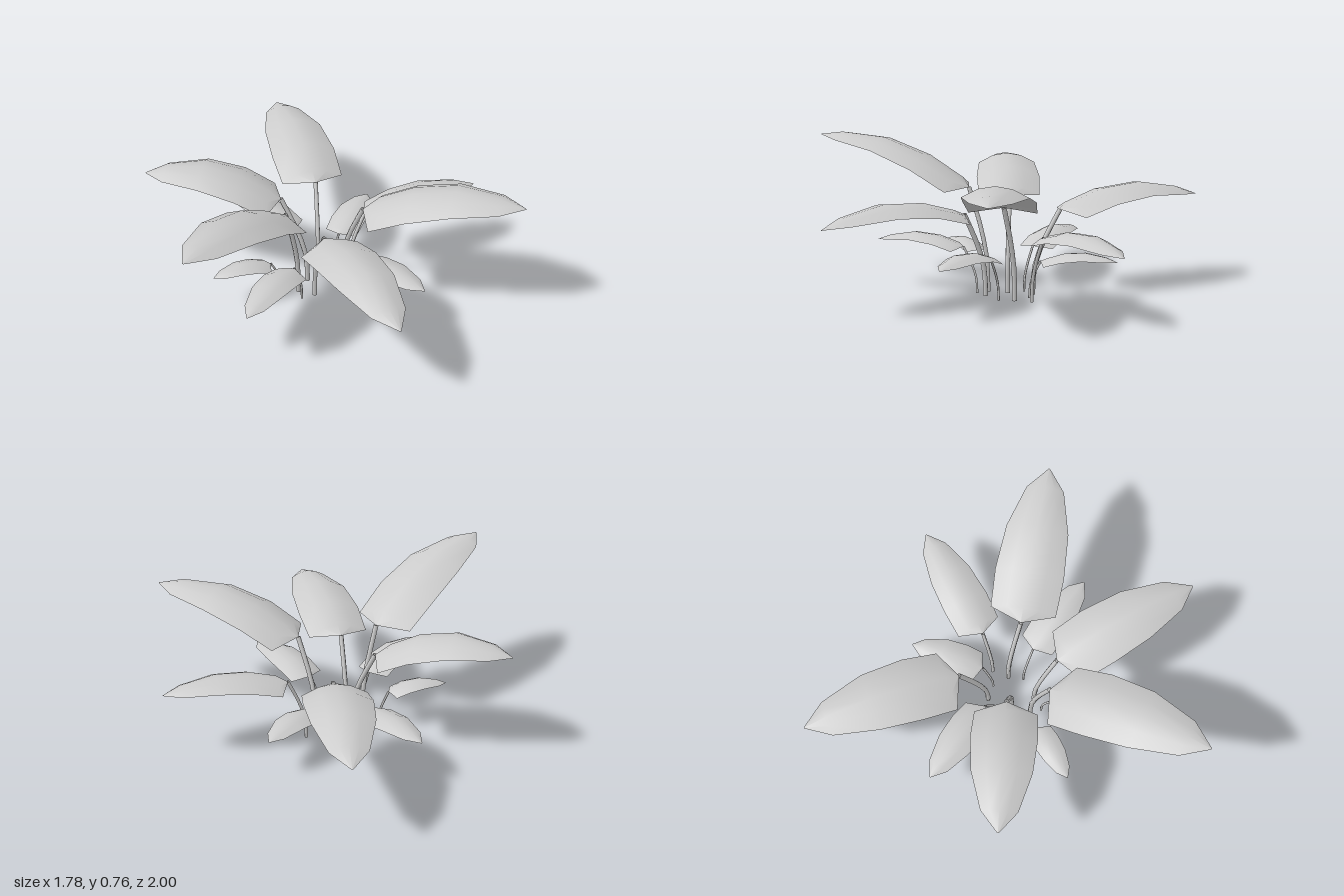
import * as THREE from 'three';

// Leaf outline: position along the leaf, half width as a share of the maximum
const OUTLINE = [[0, 0.02], [0.08, 0.97], [0.3, 1.02], [0.57, 0.92], [0.85, 0.56], [1, 0.02]];
const COLS = 4;

// Each plant shoot: stem foot [x, z], leaf base, leaf tip, half width, arch height, stem radius
const SHOOTS = [
  { foot: [0.07, -0.1], base: [0.12, 0.42, -0.23], tip: [0.27, 0.44, -1.0], w: 0.16, lift: 0.095, r: 0.012 },
  { foot: [0.19, 0.0], base: [0.28, 0.33, 0.0], tip: [0.89, 0.34, 0.03], w: 0.115, lift: 0.065, r: 0.009 },
  { foot: [0.12, 0.05], base: [0.18, 0.48, 0.16], tip: [0.76, 0.62, 0.68], w: 0.167, lift: 0.1, r: 0.012 },
  { foot: [-0.05, 0.1], base: [-0.06, 0.42, 0.22], tip: [-0.08, 0.43, 1.0], w: 0.153, lift: 0.09, r: 0.012 },
  { foot: [-0.11, 0.04], base: [-0.2, 0.52, 0.09], tip: [-0.89, 0.745, 0.52], w: 0.165, lift: 0.1, r: 0.012 },
  { foot: [-0.03, -0.02], base: [-0.13, 0.47, -0.11], tip: [-0.68, 0.56, -0.49], w: 0.157, lift: 0.105, r: 0.012 },
  { foot: [0.0, -0.1], base: [-0.02, 0.22, -0.17], tip: [-0.2, 0.24, -0.59], w: 0.095, lift: 0.055, r: 0.006 },
  { foot: [0.12, -0.04], base: [0.17, 0.19, -0.07], tip: [0.46, 0.2, -0.31], w: 0.085, lift: 0.045, r: 0.006 },
  { foot: [0.07, 0.11], base: [0.11, 0.23, 0.19], tip: [0.28, 0.25, 0.6], w: 0.095, lift: 0.05, r: 0.006 },
  { foot: [-0.18, -0.01], base: [-0.24, 0.185, 0.0], tip: [-0.54, 0.19, -0.01], w: 0.065, lift: 0.04, r: 0.006 },
  { foot: [-0.12, 0.1], base: [-0.18, 0.23, 0.14], tip: [-0.55, 0.24, 0.4], w: 0.09, lift: 0.055, r: 0.006 },
];

// Arched sheet with a raised midrib and drooping edges
function leafGeometry({ base, tip, w, lift }) {
  const a = new THREE.Vector3(...base), b = new THREE.Vector3(...tip);
  const dir = b.clone().sub(a).setY(0).normalize();
  const side = new THREE.Vector3(dir.z, 0, -dir.x);
  const pos = [], index = [];
  for (const [t, share] of OUTLINE) {
    for (let j = 0; j <= COLS; j++) {
      const u = (j / COLS) * 2 - 1;
      const p = a.clone().lerp(b, t).addScaledVector(side, u * w * share);
      p.y += 4 * lift * t * (1 - t) - 0.34 * w * share * u * u;
      pos.push(p.x, p.y, p.z);
    }
  }
  const n = COLS + 1;
  for (let i = 0; i < OUTLINE.length - 1; i++) {
    for (let j = 0; j < COLS; j++) {
      const k = i * n + j;
      index.push(k, k + n, k + 1, k + n, k + n + 1, k + 1);
    }
  }
  const g = new THREE.BufferGeometry();
  g.setAttribute('position', new THREE.Float32BufferAttribute(pos, 3));
  g.setIndex(index);
  g.computeVertexNormals();
  return g;
}

// Stem rises upright, then leans outward to the leaf base
function stemGeometry({ foot, base, r }) {
  const at = (h, s) => new THREE.Vector3(
    foot[0] + (base[0] - foot[0]) * s, base[1] * h, foot[1] + (base[2] - foot[1]) * s);
  const path = new THREE.CatmullRomCurve3([at(0, 0), at(0.32, 0.06), at(0.62, 0.38), at(1, 1)]);
  return new THREE.TubeGeometry(path, 6, r, 6, false);
}

export function createModel() {
  const model = new THREE.Group();
  model.name = 'broadLeafPlant';
  const grey = new THREE.MeshStandardMaterial({ color: 0xcccccc, side: THREE.DoubleSide });
  grey.name = 'plant grey';
  SHOOTS.forEach((s, i) => {
    const shoot = new THREE.Group();
    shoot.name = `shoot${i + 1}`;
    const leaf = new THREE.Mesh(leafGeometry(s), grey);
    leaf.name = 'leaf';
    const stem = new THREE.Mesh(stemGeometry(s), grey);
    stem.name = 'stem';
    shoot.add(leaf, stem);
    model.add(shoot);
  });
  return model;
}
